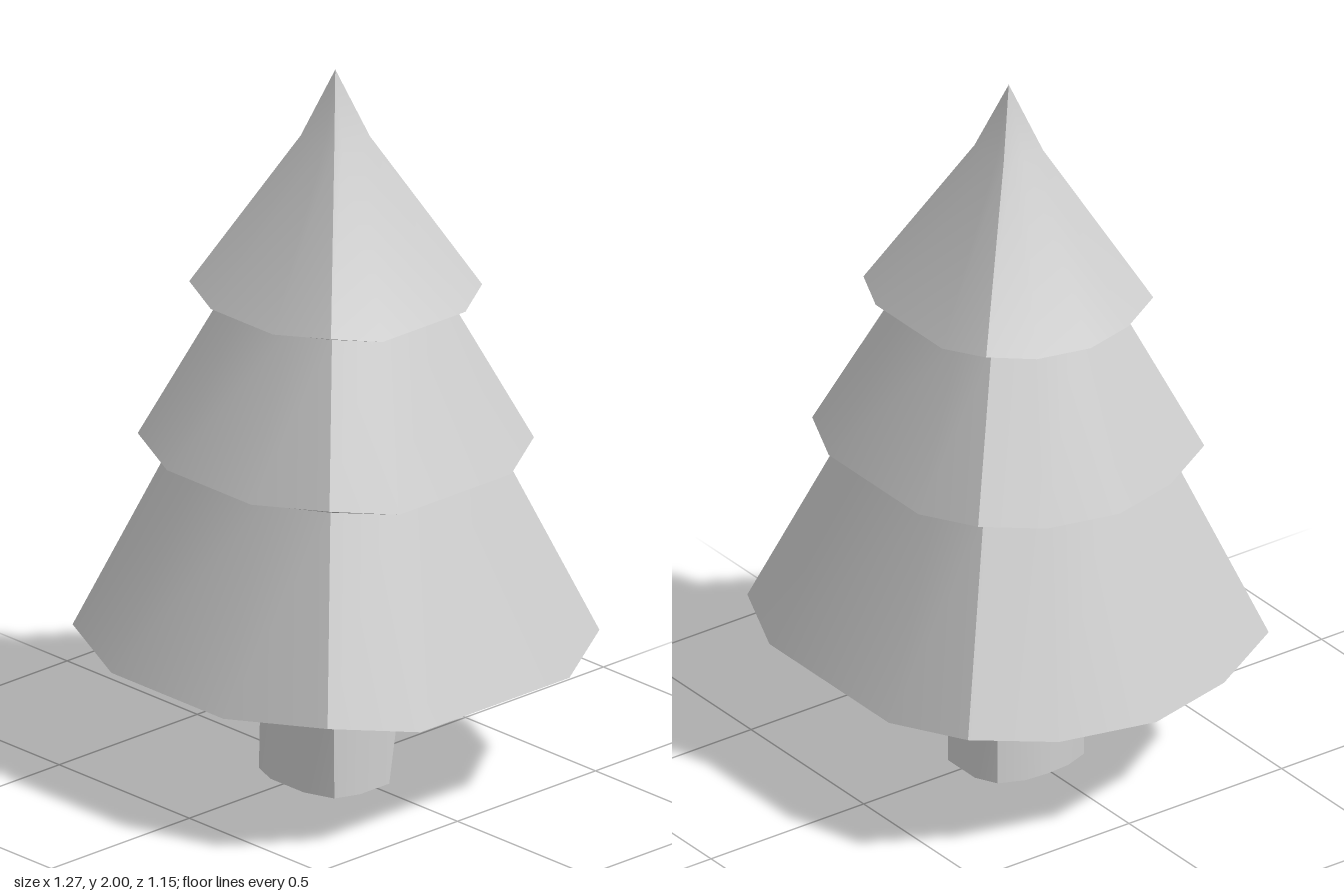
import * as THREE from 'three';
import { toCreasedNormals } from 'three/addons/utils/BufferGeometryUtils.js';

// Rounded-square plan of the lowest branches, as offsets from the tree axis
const AXIS = { x: 0.02, z: -0.01 };
const PLAN = [
  [-0.49, -0.495], [-0.24, -0.57], [0.29, -0.57],
  [0.49, -0.495], [0.613, -0.27], [0.613, 0.27],
  [0.49, 0.49], [0.19, 0.585], [-0.24, 0.585],
  [-0.49, 0.49], [-0.59, 0.27], [-0.655, 0], [-0.59, -0.27],
];
const CORNERS = [0, 3, 6, 9];

// Foot of the trunk, with one corner cut off at the back
const FOOT = [
  [-0.14, -0.14], [-0.08, -0.17], [0.04, -0.17],
  [0.105, -0.102], [0.17, -0.035], [0.17, 0.07],
  [0.145, 0.14], [0.06, 0.17], [-0.07, 0.17],
  [-0.145, 0.14], [-0.17, 0.07], [-0.175, 0], [-0.17, -0.07],
];

// One cross-section: scaled plan, raised at the corners, optionally squared off
function ring({ s, y, lift = 0, square = false, plan = PLAN }) {
  const c = square ? 0.49 : 1;
  return plan.map(([px, pz], i) => [
    AXIS.x + THREE.MathUtils.clamp(px, -c, c) * s,
    y + (CORNERS.includes(i) ? lift : 0),
    AXIS.z + THREE.MathUtils.clamp(pz, -c, c) * s,
  ]);
}

// Skin cross-sections listed from bottom to top
function loft(name, sections, material) {
  const n = PLAN.length;
  const index = [];
  for (let r = 0; r < sections.length - 1; r++) {
    for (let i = 0; i < n; i++) {
      const a = r * n + i, b = r * n + (i + 1) % n;
      if (sections[r].s > 0) index.push(a, a + n, b);
      if (sections[r + 1].s > 0) index.push(b, a + n, b + n);
    }
  }
  const geometry = new THREE.BufferGeometry();
  geometry.setAttribute('position', new THREE.Float32BufferAttribute(sections.flatMap(ring).flat(), 3));
  geometry.setIndex(index);
  const mesh = new THREE.Mesh(toCreasedNormals(geometry, 0.56), material);
  mesh.name = name;
  return mesh;
}

export function createModel() {
  const group = new THREE.Group();
  group.name = 'pineTree';
  const material = new THREE.MeshStandardMaterial({ color: 0xcccccc, side: THREE.DoubleSide });

  // Flared trunk, square at the top and rounder at the foot
  group.add(loft('trunk', [
    { s: 0, y: 0 },
    { s: 1, y: 0, plan: FOOT },
    { s: 0.28, y: 0.41, square: true },
  ], material));

  // Sections where one tier meets the next
  const lowerJoint = { s: 0.63, y: 0.896, lift: 0.02 };
  const upperJoint = { s: 0.43, y: 1.337, lift: 0.015 };

  // Lowest tier, its underside rising towards the trunk
  group.add(loft('lowerBranches', [
    { s: 0.28, y: 0.41, square: true },
    { s: 1, y: 0.37, lift: 0.035 },
    lowerJoint,
  ], material));

  group.add(loft('middleBranches', [
    lowerJoint,
    { s: 0.752, y: 0.926, lift: 0.028 },
    upperJoint,
  ], material));

  // Top tier, ending in a square, steeper tip
  group.add(loft('topBranches', [
    upperJoint,
    { s: 0.556, y: 1.368, lift: 0.022 },
    { s: 0.132, y: 1.81, square: true },
    { s: 0, y: 2 },
  ], material));

  return group;
}
